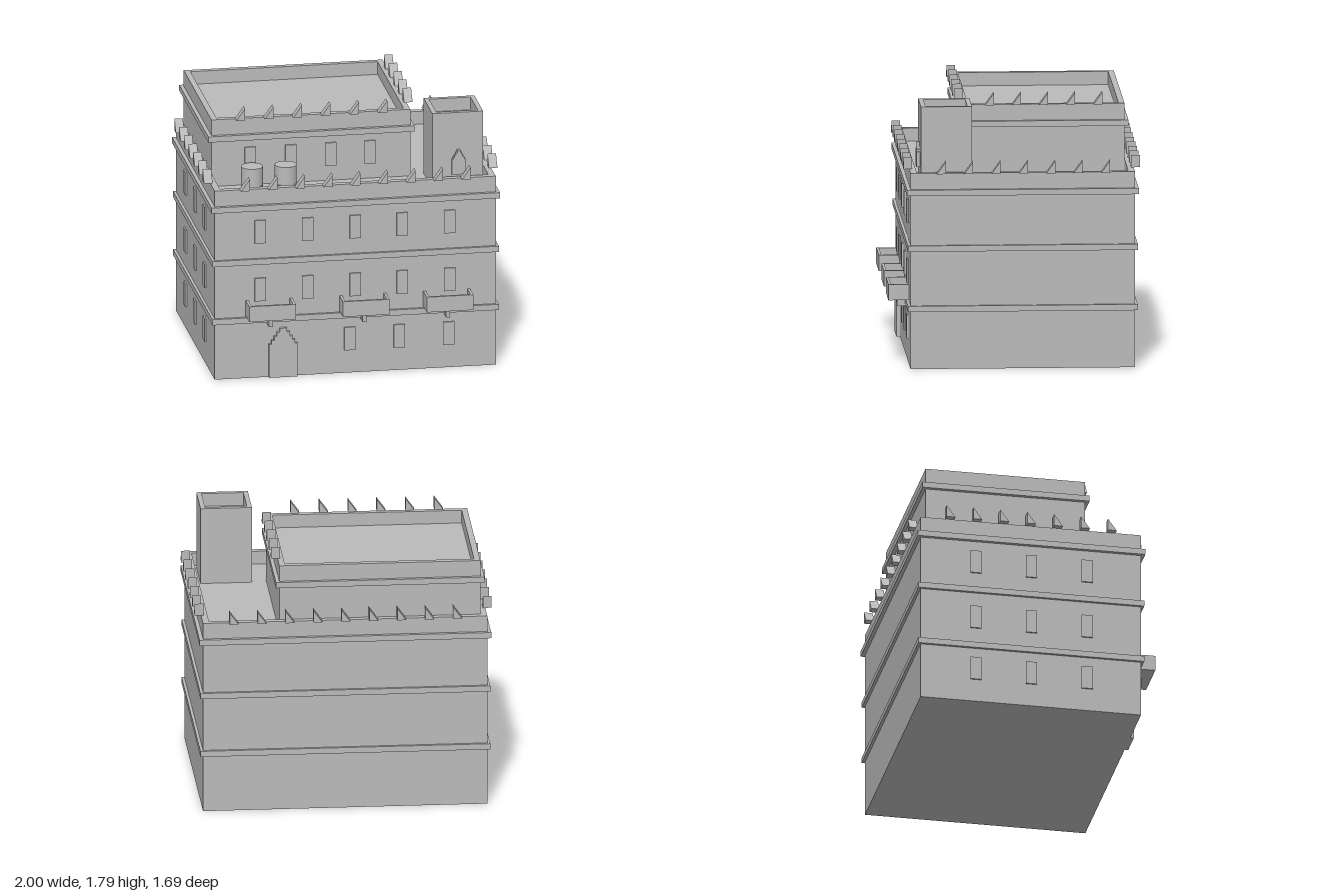
import * as THREE from 'three';

export function createModel() {
  const model = new THREE.Group();
  const stone = new THREE.MeshStandardMaterial({ color: 0xbababa });
  stone.name = 'pale grey stone';

  const add = (name, geometry, parent = model) => {
    const mesh = new THREE.Mesh(geometry, stone);
    mesh.name = name;
    parent.add(mesh);
    return mesh;
  };
  const group = (name) => {
    const g = new THREE.Group();
    g.name = name;
    model.add(g);
    return g;
  };
  // Box given by its extents
  const block = (name, x0, x1, y0, y1, z0, z1, parent) => {
    const g = new THREE.BoxGeometry(x1 - x0, y1 - y0, z1 - z0);
    g.translate((x0 + x1) / 2, (y0 + y1) / 2, (z0 + z1) / 2);
    return add(name, g, parent);
  };
  const outline = (points) => new THREE.Shape(points.map(([x, y]) => new THREE.Vector2(x, y)));
  const extrude = (shape, depth) => new THREE.ExtrudeGeometry(shape, { depth, bevelEnabled: false });

  // Solid block with a sunken top surrounded by a rim
  const rimmedBlock = (name, x0, x1, y0, floor, y1, z0, z1, t, parent) => {
    block(name, x0, x1, y0, floor, z0, z1, parent);
    const rect = (m) => [[x0 + m, -z1 + m], [x1 - m, -z1 + m], [x1 - m, -z0 - m], [x0 + m, -z0 - m]];
    const ring = outline(rect(0));
    ring.holes.push(outline(rect(t)));
    const g = extrude(ring, y1 - floor);
    g.rotateX(-Math.PI / 2);
    g.translate(0, floor, 0);
    add(name + 'Parapet', g, parent);
  };

  // Main walls, upper storey and stair tower
  rimmedBlock('mainBuilding', -0.957, 0.957, 0, 1.24, 1.33, -0.807, 0.7, 0.043);
  rimmedBlock('upperStorey', -0.914, 0.44, 1.24, 1.62, 1.71, -0.765, 0.325, 0.04);
  rimmedBlock('stairTower', 0.538, 0.884, 1.24, 1.68, 1.77, 0.283, 0.627, 0.032);

  // Projecting string courses
  block('lowerBand', -0.976, 0.976, 0.39, 0.43, -0.826, 0.719);
  block('middleBand', -0.976, 0.976, 0.8, 0.84, -0.826, 0.719);
  block('topBand', -0.982, 0.982, 1.18, 1.22, -0.832, 0.725);
  block('upperStoreyBand', -0.94, 0.465, 1.56, 1.6, -0.79, 0.352);

  // Wedge battlements, peaking toward +x, or toward -z along the side walls
  const battlements = group('battlements');
  const wedge = extrude(outline([[-0.03, 0], [0.03, 0], [0.03, 0.083]]), 0.058);
  wedge.translate(0, 0, -0.029);
  const merlon = (x, y, z, side) => {
    const m = add('merlon', wedge, battlements);
    m.position.set(x, y, z);
    if (side) m.rotation.y = Math.PI / 2;
  };
  for (let i = 0; i < 9; i++)
    for (const z of [0.71, -0.82]) merlon(-0.754 + i * 0.188, 1.33, z, false);
  for (let i = 0; i < 7; i++)
    for (const x of [-0.97, 0.97]) merlon(x, 1.33, -0.608 + i * 0.184, true);
  for (let i = 0; i < 6; i++) merlon(-0.722 + i * 0.1935, 1.71, 0.342, false);
  for (let i = 0; i < 5; i++) merlon(0.453, 1.71, -0.583 + i * 0.182, true);

  // Windows
  const windows = group('windows');
  const frontWindow = (x, y, z) =>
    block('frontWindow', x - 0.038, x + 0.038, y, y + 0.162, z - 0.01, z + 0.011, windows);
  for (const x of [-0.648, -0.325, 0, 0.32, 0.642])
    for (const y of [0.54, 0.948]) frontWindow(x, y, 0.7);
  for (const x of [-0.037, 0.3, 0.635]) frontWindow(x, 0.16, 0.7);
  for (const x of [-0.65, -0.375, -0.104, 0.165]) frontWindow(x, 1.345, 0.325);
  for (const y of [0.16, 0.54, 0.948])
    for (const z of [-0.43, -0.05, 0.33])
      block('sideWindow', -0.968, -0.947, y, y + 0.162, z - 0.038, z + 0.038, windows);

  // Stepped arches: [half width, top height] for each step
  const steppedArch = (name, steps, x, y, z, depth) => {
    const right = [];
    let bottom = 0;
    for (const [w, top] of steps) {
      right.push([w, bottom], [w, top]);
      bottom = top;
    }
    const left = right.map(([w, h]) => [-w, h]).reverse();
    add(name, extrude(outline([...right, ...left]), depth)).position.set(x, y, z);
  };
  steppedArch('entranceDoor',
    [[0.097, 0.235], [0.08, 0.262], [0.062, 0.288], [0.044, 0.318], [0.024, 0.345]],
    -0.493, 0, 0.69, 0.034);
  steppedArch('towerDoor',
    [[0.047, 0.105], [0.038, 0.12], [0.029, 0.137], [0.02, 0.153], [0.01, 0.17]],
    0.714, 1.34, 0.617, 0.034);

  // Open balconies on single brackets
  for (const [x, bracketX] of [[-0.587, -0.587], [0.051, 0.051], [0.622, 0.62]]) {
    const balcony = group('balcony');
    const a = x - 0.159, b = x + 0.159, t = 0.018;
    block('balconyFloor', a, b, 0.44, 0.46, 0.69, 0.84, balcony);
    block('balconyFront', a, b, 0.46, 0.547, 0.84 - t, 0.84, balcony);
    block('balconyLeftSide', b - t, b, 0.46, 0.547, 0.69, 0.84 - t, balcony);
    block('balconyRightSide', a, a + t, 0.46, 0.547, 0.69, 0.84 - t, balcony);
    block('bracket', bracketX - 0.014, bracketX + 0.014, 0.375, 0.44, 0.69, 0.775, balcony);
  }

  // Water tanks on short legs
  for (const x of [-0.658, -0.428]) {
    const tank = group('waterTank');
    tank.position.set(x, 0, 0.438);
    add('tankBody', new THREE.CylinderGeometry(0.074, 0.074, 0.14, 32), tank).position.y = 1.337;
    for (const sx of [-1, 1])
      for (const sz of [-1, 1])
        block('tankLeg', sx * 0.051 - 0.008, sx * 0.051 + 0.008, 1.24, 1.28,
          sz * 0.051 - 0.008, sz * 0.051 + 0.008, tank);
  }
  return model;
}
